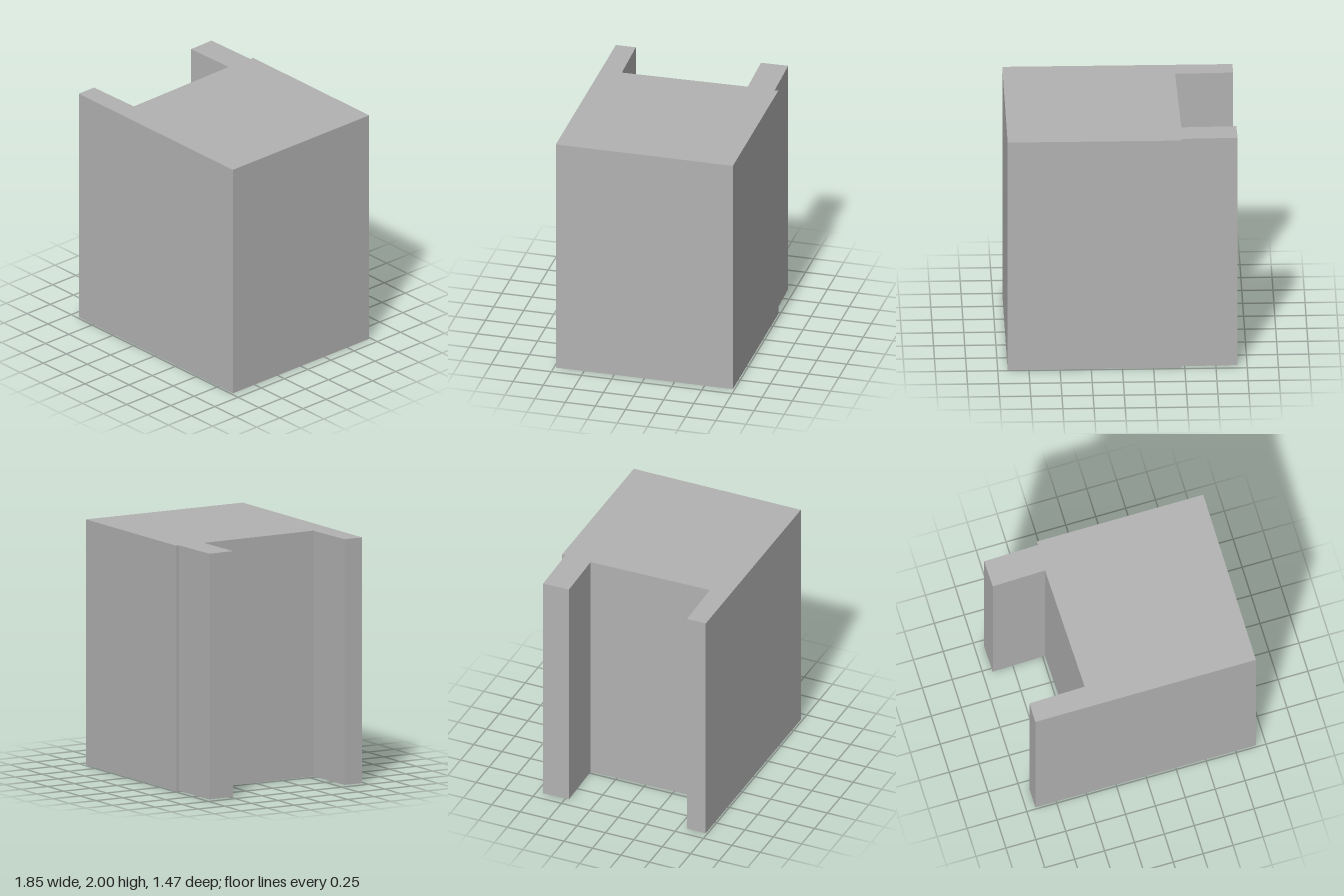
import * as THREE from 'three';

export function createModel() {
  const group = new THREE.Group();
  group.name = 'building';

  const wallGrey = new THREE.MeshStandardMaterial({ color: 0xb2b2b2 });
  wallGrey.name = 'wall grey';

  // Footprint as [x, z]: a main block with two wings enclosing a court on -x
  const footprint = [
    [-0.925, 0.735], [0.92, 0.735], [0.92, -0.735],
    [-0.473, -0.735], [-0.47, -0.705],                   // small step at the back
    [-0.925, -0.695], [-0.92, -0.47], [-0.48, -0.48],    // rear wing
    [-0.46, 0.56], [-0.925, 0.57],                       // front wing
  ];
  const shape = new THREE.Shape(footprint.map(([x, z]) => new THREE.Vector2(x, -z)));

  // Extrude upwards from the ground
  const geometry = new THREE.ExtrudeGeometry(shape, { depth: 2, bevelEnabled: false });
  geometry.rotateX(-Math.PI / 2);

  const block = new THREE.Mesh(geometry, wallGrey);
  block.name = 'buildingBlock';
  group.add(block);
  return group;
}
